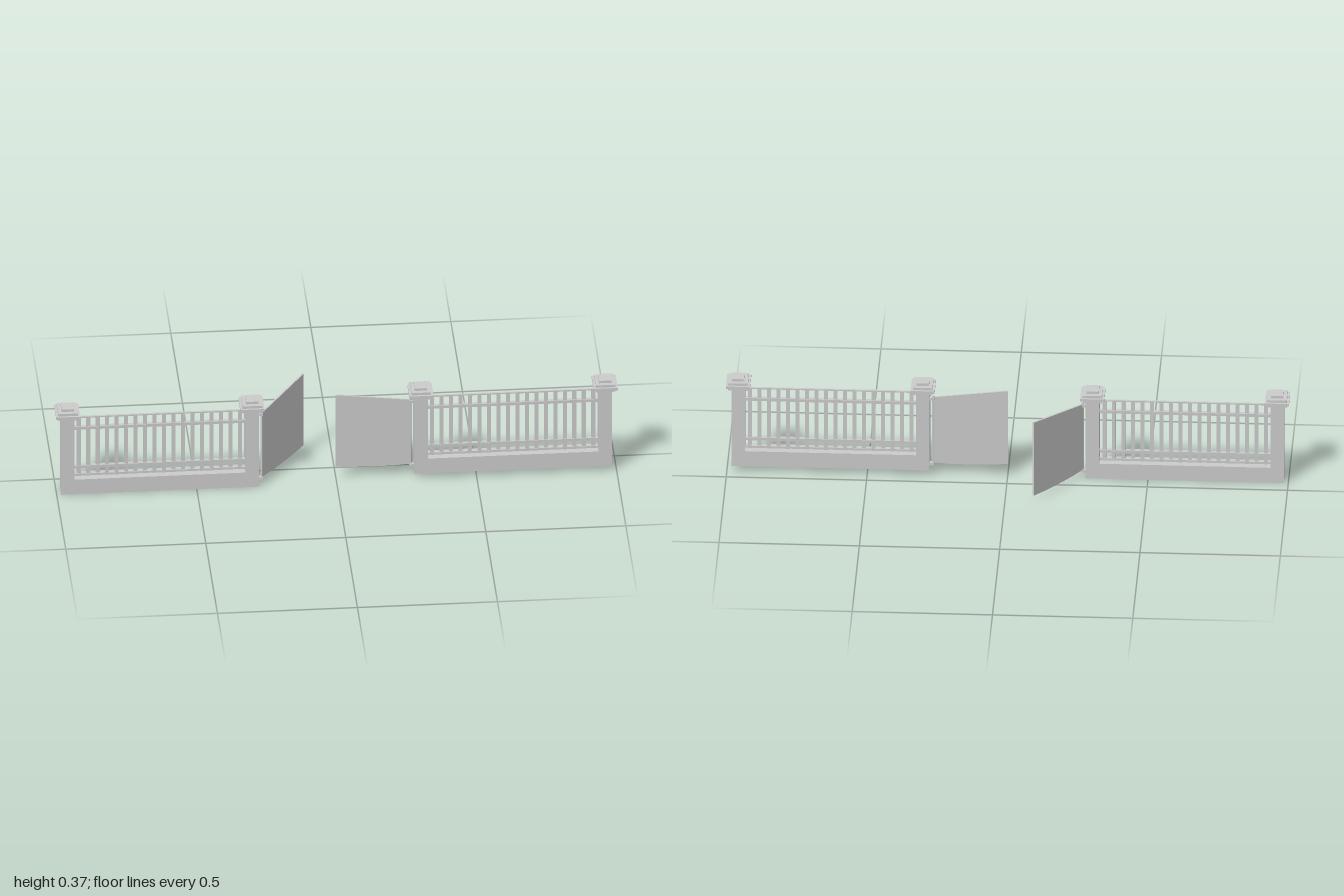
import * as THREE from 'three';

const material = new THREE.MeshStandardMaterial({ color: 0xcccccc, flatShading: true });

function add(parent, name, geometry, x = 0, y = 0, z = 0) {
  const mesh = new THREE.Mesh(geometry, material);
  mesh.name = name;
  mesh.position.set(x, y, z);
  parent.add(mesh);
  return mesh;
}

const box = (w, h, d) => new THREE.BoxGeometry(w, h, d);

function extrude(points, depth) {
  const shape = new THREE.Shape(points.map(([x, y]) => new THREE.Vector2(x, y)));
  return new THREE.ExtrudeGeometry(shape, { depth, bevelEnabled: false }).translate(0, 0, -depth / 2);
}

// Pillars and low wall in one U-shaped piece, stepped caps, and railing
function createFence() {
  const fence = new THREE.Group();
  fence.name = 'fence';
  const outer = 0.353, inner = 0.305, wallTop = 0.06, pillarTop = 0.31;
  add(fence, 'pillarsAndWall', extrude([
    [-outer, 0], [outer, 0], [outer, pillarTop], [inner, pillarTop],
    [inner, wallTop], [-inner, wallTop], [-inner, pillarTop], [-outer, pillarTop],
  ], 0.059));

  const capLayers = [[0.07, 0.08], [0.086, 0.095], [0.07, 0.08], [0.044, 0.05]];
  for (const side of [-1, 1]) {
    capLayers.forEach(([w, d], i) =>
      add(fence, 'pillarCap', box(w, 0.0095, d), side * 0.329, 0.3138 + i * 0.0095, 0));
  }

  // Horizontal rails
  for (const [y, h, d] of [[0.3, 0.005, 0.008], [0.257, 0.011, 0.014], [0.098, 0.011, 0.014], [0.066, 0.008, 0.012]]) {
    add(fence, 'rail', box(inner * 2, h, d), 0, y, 0);
  }
  // Upright bars
  const count = 18;
  for (let i = 0; i < count; i++) {
    const x = -inner + ((i + 0.5) * inner * 2) / count;
    add(fence, 'bar', box(0.014, 0.241, 0.008), x, 0.18, 0);
  }
  return fence;
}

// Solid leaf rising toward its free end, with a gently sagging lower edge
function createGate() {
  const gate = new THREE.Group();
  gate.name = 'gate';
  add(gate, 'gateLeaf', extrude([
    [0, 0.023], [0.06, 0.019], [0.14, 0.018], [0.21, 0.02], [0.267, 0.024],
    [0.267, 0.317], [0, 0.285],
  ], 0.007));
  add(gate, 'hingeStile', new THREE.CylinderGeometry(0.004, 0.004, 0.275, 8), 0, 0.152, 0);
  return gate;
}

// side -1 is the model's right half, +1 its left half
function createHalf(side, y, z, hingeZ, swing) {
  const half = new THREE.Group();
  half.name = side < 0 ? 'rightHalf' : 'leftHalf';
  half.position.set(0, y, z);

  const fence = createFence();
  fence.position.x = side * 0.631;
  half.add(fence);

  const gate = createGate();
  gate.position.set(side * 0.266, 0, hingeZ);
  gate.rotation.y = swing;
  half.add(gate);

  // Hinge brackets between pillar and leaf
  for (const hy of [0.018, 0.28]) {
    add(half, 'hinge', box(0.018, 0.01, 0.016), side * 0.271, hy, hingeZ);
  }
  return half;
}

export function createModel() {
  const model = new THREE.Group();
  model.name = 'fenceWithGates';
  model.add(createHalf(-1, 0, 0.084, -0.003, 0.905));
  model.add(createHalf(1, 0.021, 0.075, -0.007, Math.PI));
  return model;
}
